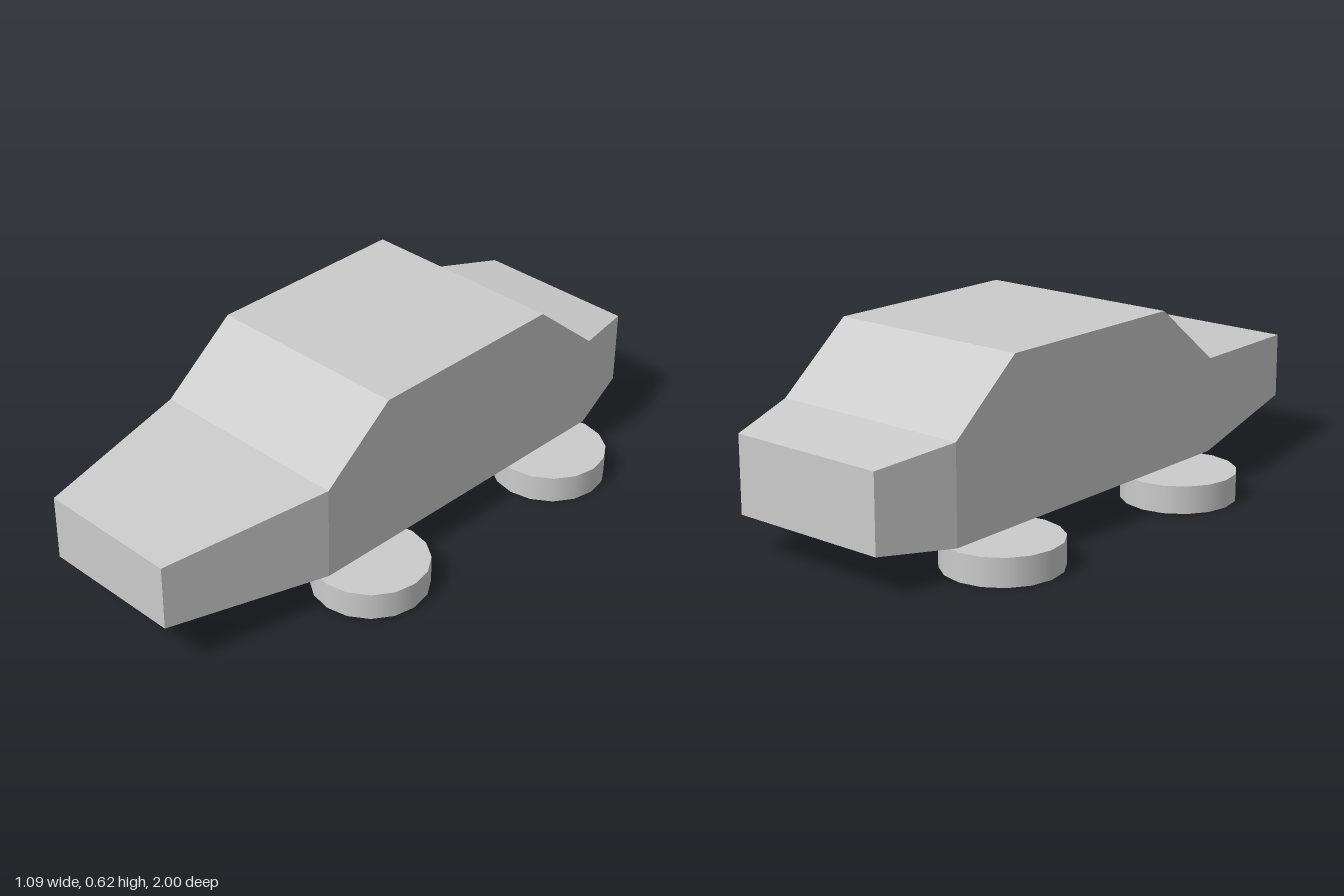
import * as THREE from 'three';

// Closed hull through rectangular cross-sections listed from front to back
function loftRectangles(sections) {
  const rings = sections.map(([z, halfWidth, bottom, top]) => [
    [-halfWidth, bottom, z], [halfWidth, bottom, z],
    [halfWidth, top, z], [-halfWidth, top, z],
  ]);
  const positions = [];
  const quad = (a, b, c, d) => positions.push(...a, ...b, ...c, ...a, ...c, ...d);

  for (let i = 0; i < rings.length - 1; i++) {
    const front = rings[i], back = rings[i + 1];
    for (let j = 0; j < 4; j++) {
      const k = (j + 1) % 4;
      quad(front[j], back[j], back[k], front[k]);
    }
  }
  quad(...rings[0]);
  quad(...[...rings[rings.length - 1]].reverse());

  const geometry = new THREE.BufferGeometry();
  geometry.setAttribute('position', new THREE.Float32BufferAttribute(positions, 3));
  geometry.computeVertexNormals();
  return geometry;
}

export function createModel() {
  const model = new THREE.Group();
  model.name = 'car';

  // Body: tapered hood, raised cabin and short tapered trunk
  const body = new THREE.Mesh(
    loftRectangles([
      // z, half width, bottom, top
      [1.0, 0.24, 0.163, 0.378],
      [0.45, 0.35, 0.108, 0.42],
      [0.2, 0.35, 0.106, 0.62],
      [-0.5, 0.35, 0.102, 0.62],
      [-0.75, 0.35, 0.1, 0.413],
      [-1.0, 0.277, 0.125, 0.373],
    ]),
    new THREE.MeshStandardMaterial({ color: 0xcccccc, flatShading: true }),
  );
  body.name = 'body';
  model.add(body);

  // Wheels: flat discs lying under the four corners
  const wheelGeometry = new THREE.CylinderGeometry(0.187, 0.187, 0.09, 16);
  const wheelMaterial = new THREE.MeshStandardMaterial({ color: 0xcccccc });
  for (const [end, z] of [['front', 0.28], ['back', -0.565]]) {
    for (const [side, sign] of [['Left', 1], ['Right', -1]]) {
      const wheel = new THREE.Mesh(wheelGeometry, wheelMaterial);
      wheel.name = `${end}${side}Wheel`;
      wheel.position.set(sign * 0.357, 0.045, z);
      model.add(wheel);
    }
  }

  return model;
}
